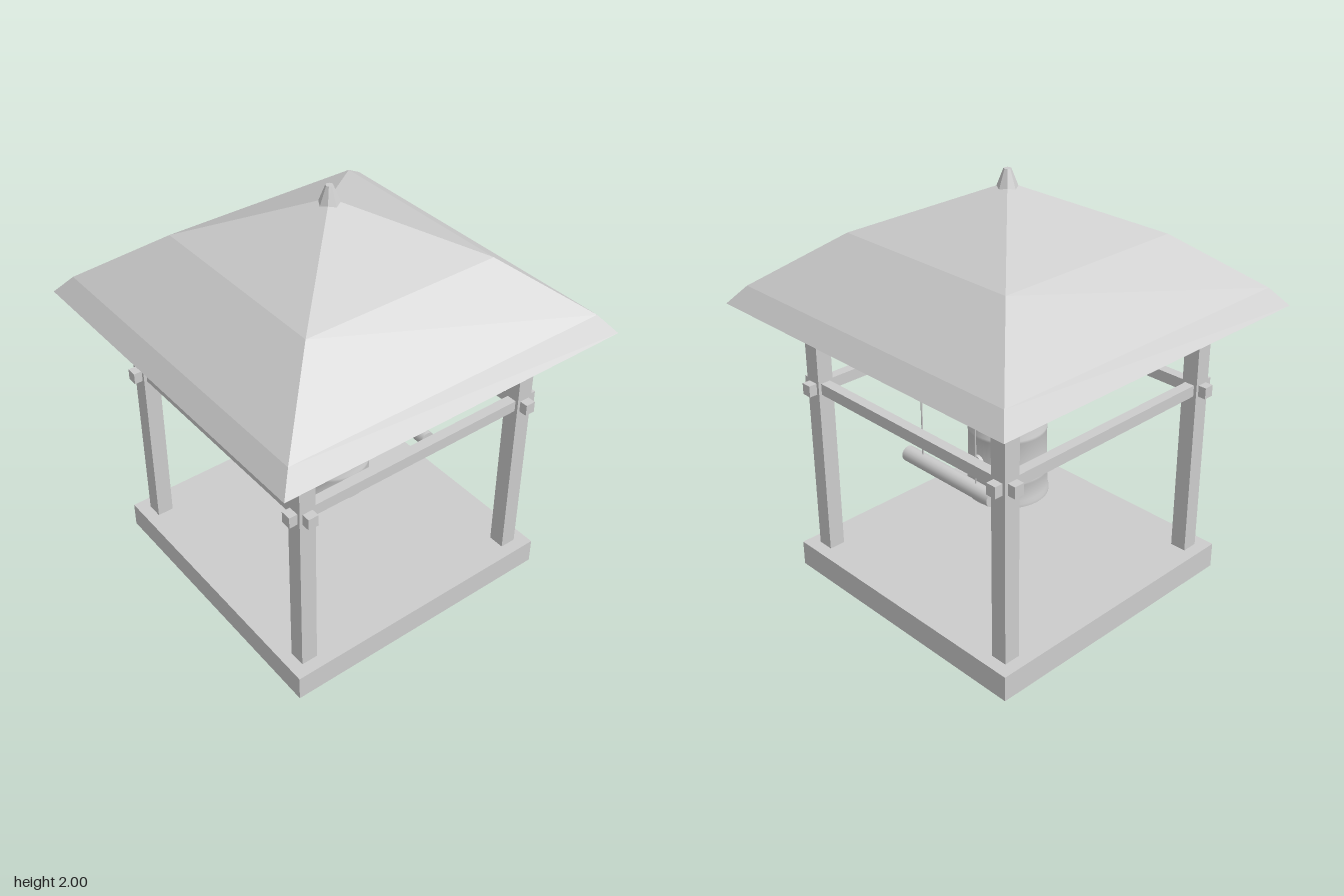
import * as THREE from 'three';
import { toCreasedNormals } from 'three/addons/utils/BufferGeometryUtils.js';

export function createModel() {
  const root = new THREE.Group();
  root.name = 'bellPavilion';
  const grey = new THREE.MeshStandardMaterial({ color: 0xcccccc });
  grey.name = 'plain grey';

  const add = (name, geometry, x = 0, y = 0, z = 0, parent = root) => {
    const mesh = new THREE.Mesh(geometry, grey);
    mesh.name = name;
    mesh.position.set(x, y, z);
    parent.add(mesh);
    return mesh;
  };
  const box = (name, w, h, d, x, y, z) => add(name, new THREE.BoxGeometry(w, h, d), x, y, z);
  const lathe = (profile, segments, phi = 0) =>
    new THREE.LatheGeometry(profile.map(([r, y]) => new THREE.Vector2(r, y)), segments, phi);
  const flat = (geometry) => {
    const g = geometry.toNonIndexed();
    g.computeVertexNormals();
    return g;
  };
  // Vertical rope between two heights
  const rope = (name, radius, x, z, y0, y1) =>
    add(name, new THREE.CylinderGeometry(radius, radius, y1 - y0, 8), x, (y0 + y1) / 2, z);

  // Base slab and corner posts
  box('base', 1.4, 0.125, 1.4, 0, 0.0625, 0);
  for (const x of [-0.6, 0.6]) {
    for (const z of [-0.6, 0.6]) box('post', 0.08, 1.2, 0.08, x, 0.722, z);
  }

  // Two levels of crossing rails, with ends poking past the posts
  for (const y of [0.98, 1.295]) {
    for (const s of [-0.6, 0.6]) {
      box('railAcross', 1.36, 0.055, 0.05, 0, y, s);
      box('railAlong', 0.05, 0.055, 1.36, s, y, 0);
    }
  }
  box('ridgeBeam', 0.1, 0.06, 1.2, 0, 1.352, 0);

  // Four-sided curved roof, closed underneath
  const r2 = Math.SQRT2;
  const roof = [[0, 1.38], [0.875 * r2, 1.38], [0.805 * r2, 1.465], [0.485 * r2, 1.712], [0, 1.94]];
  add('roof', flat(lathe(roof, 4, Math.PI / 4)));
  add('finial', flat(new THREE.CylinderGeometry(0.017, 0.05, 0.085, 8)), 0, 1.9575, 0);

  // Hollow bell with raised bands
  const bell = new THREE.Group();
  bell.name = 'bell';
  root.add(bell);
  const profile = [
    [0, 0.99], [0.13, 0.98], [0.16, 0.93], [0.165, 0.6], [0.175, 0.445],
    [0.194, 0.445], [0.194, 0.46], [0.189, 0.475], [0.187, 0.55], [0.19, 0.56],
    [0.19, 0.575], [0.185, 0.585], [0.183, 0.77], [0.185, 0.775], [0.185, 0.788],
    [0.181, 0.795], [0.18, 0.95], [0.174, 0.985], [0.158, 1.01], [0.13, 1.025],
    [0.08, 1.033], [0, 1.036],
  ];
  add('bellBody', toCreasedNormals(lathe(profile, 48), 0.7), 0, 0, 0, bell);
  add('bellRing', new THREE.TorusGeometry(0.05, 0.012, 10, 32), 0, 1.08, 0, bell);

  // Four panels of studs around the shoulder
  const stud = new THREE.SphereGeometry(0.008, 8, 6);
  for (let panel = 0; panel < 4; panel++) {
    for (let col = -1; col <= 1; col++) {
      const a = Math.PI / 4 + panel * Math.PI / 2 + col * 0.165;
      for (let row = 0; row < 4; row++) {
        add('stud', stud, 0.181 * Math.sin(a), 0.82 + row * 0.032, 0.181 * Math.cos(a), bell);
      }
    }
  }

  // Striking pads on both sides
  for (const s of [-1, 1]) {
    const pad = add('strikingPad', new THREE.CylinderGeometry(0.032, 0.032, 0.03, 20), s * 0.185, 0.66, 0, bell);
    pad.rotation.z = Math.PI / 2;
  }

  // Bell hanger
  rope('bellHanger', 0.008, 0, 0, 1.08, 1.34);

  // Hanging striker log
  const log = add('strikerLog', new THREE.CylinderGeometry(0.037, 0.037, 0.56, 16), 0.365, 0.66, 0);
  log.rotation.x = Math.PI / 2;
  for (const z of [-0.175, 0.175]) rope('logRope', 0.004, 0.365, z, 0.68, 1.31);

  return root;
}
